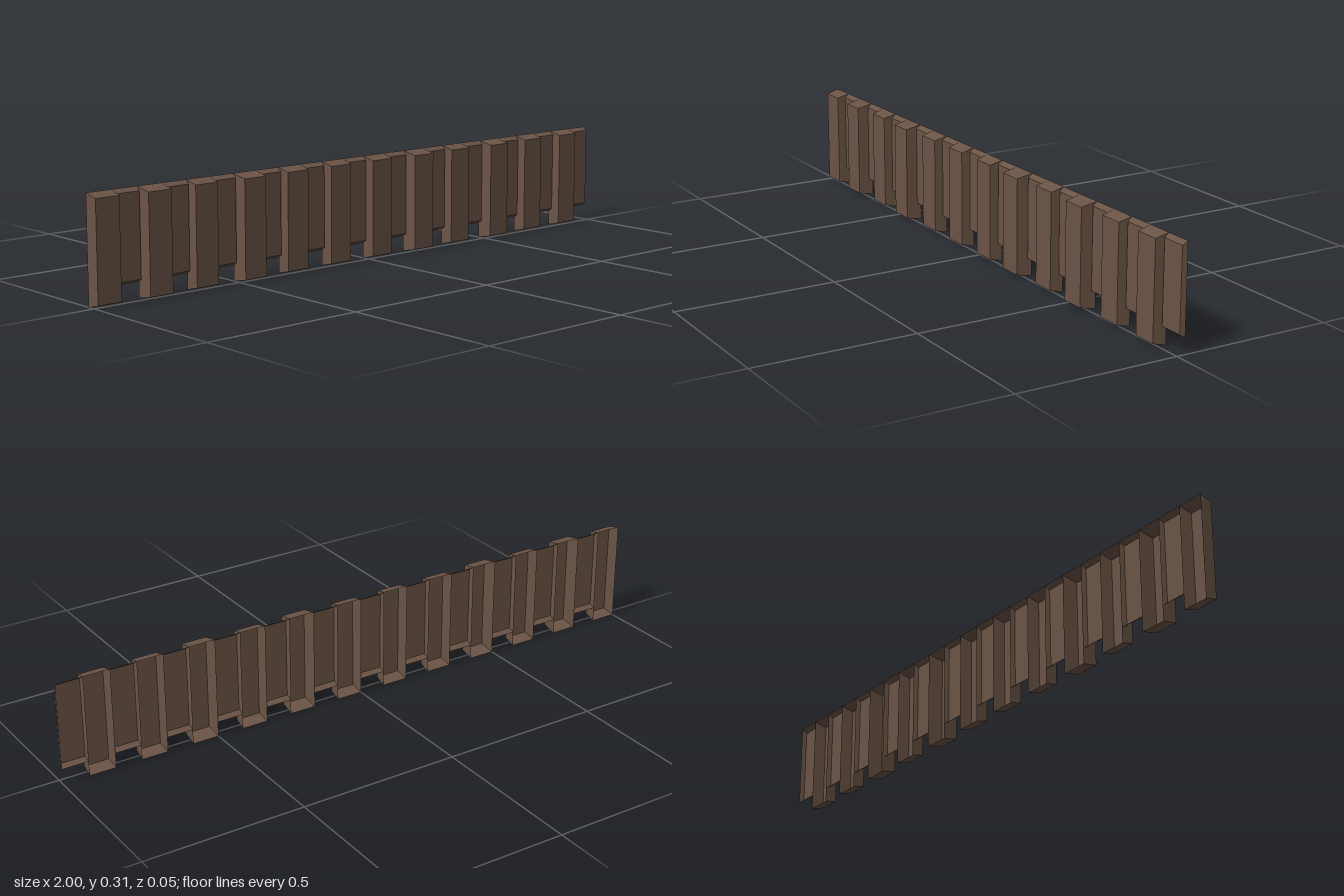
import * as THREE from 'three';

const COUNT = 24, PITCH = 2 / COUNT, BACK = -0.025, TOP = 0.315;
const BEVEL = 0.01, TAPER = 0.003;

// Open-backed plank shell: a front face and four bevelled sides
function plankGeometry(bottom, front) {
  const w = PITCH / 2;
  const ring = (z, halfWidth, low, high) => [
    [-halfWidth, low, z], [halfWidth, low, z], [halfWidth, high, z], [-halfWidth, high, z],
  ];
  const b = ring(BACK, w, bottom, TOP);
  const f = ring(front, w - TAPER, bottom + BEVEL, TOP - BEVEL - 0.001);
  const points = [];
  const quad = (p, q, r, s) => points.push(...p, ...q, ...r, ...p, ...r, ...s);
  quad(...f);
  for (let i = 0; i < 4; i++) {
    const j = (i + 1) % 4;
    quad(b[i], b[j], f[j], f[i]);
  }
  const geometry = new THREE.BufferGeometry();
  geometry.setAttribute('position', new THREE.Float32BufferAttribute(points, 3));
  geometry.computeVertexNormals();
  return geometry;
}

export function createModel() {
  const group = new THREE.Group();
  group.name = 'plankTrim';
  const wood = new THREE.MeshStandardMaterial({ color: 0x6b5446, side: THREE.DoubleSide });
  wood.name = 'brownWood';

  const shortPlank = plankGeometry(0.047, -0.009);
  const longPlank = plankGeometry(0, 0.016);
  const deepPlank = plankGeometry(0, 0.025);
  const deepOnes = [1, 3, 7, 9]; // long planks that stand further forward

  // Long and short planks alternate along the strip
  for (let i = 0; i < COUNT; i++) {
    const isLong = i % 2 === 0;
    const long = deepOnes.includes(i / 2) ? deepPlank : longPlank;
    const plank = new THREE.Mesh(isLong ? long : shortPlank, wood);
    plank.name = isLong ? 'longPlank' : 'shortPlank';
    plank.position.x = -1 + (i + 0.5) * PITCH;
    group.add(plank);
  }
  return group;
}
